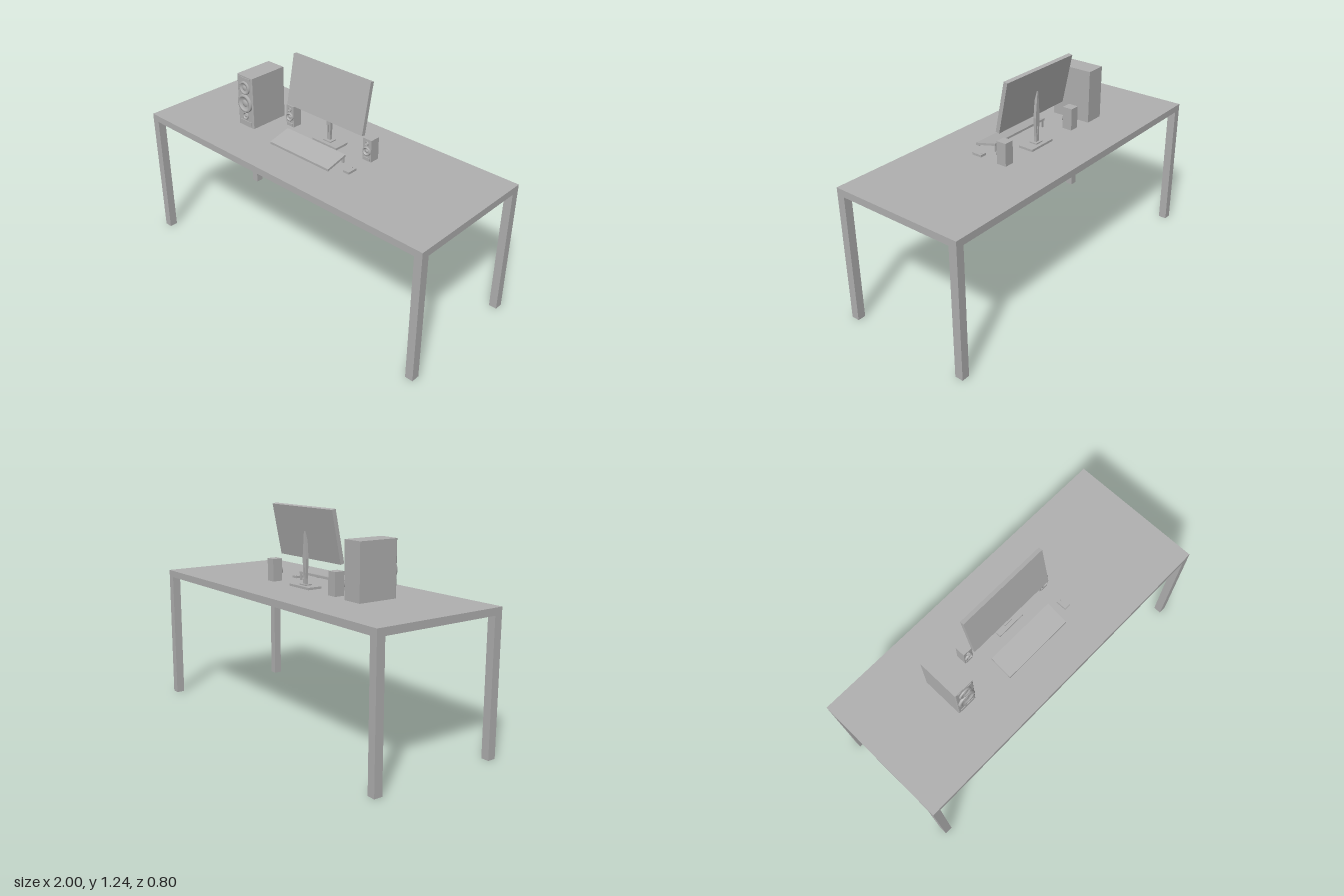
import * as THREE from 'three';

const gray = new THREE.MeshStandardMaterial({ color: 0xb0b0b0 });
gray.name = 'plain gray';

function add(parent, name, geometry, x = 0, y = 0, z = 0) {
  const mesh = new THREE.Mesh(geometry, gray);
  mesh.name = name;
  mesh.position.set(x, y, z);
  parent.add(mesh);
  return mesh;
}

// Box given by its minimum and maximum corners
function box(parent, name, [x0, y0, z0], [x1, y1, z1]) {
  return add(parent, name, new THREE.BoxGeometry(x1 - x0, y1 - y0, z1 - z0),
    (x0 + x1) / 2, (y0 + y1) / 2, (z0 + z1) / 2);
}

function group(parent, name, x = 0, y = 0, z = 0) {
  const g = new THREE.Group();
  g.name = name;
  g.position.set(x, y, z);
  parent.add(g);
  return g;
}

// Round driver facing +z: raised rim, sunken cone and a domed centre
function driver(parent, name, y, z, r, depth) {
  const profile = [
    [0, 0.75], [0.2, 0.68], [0.36, 0.45], [0.42, 0.2], [0.68, 0.6],
    [0.74, 0.95], [0.82, 1], [0.95, 0.9], [1, 0.7], [1, 0],
  ].map(([a, h]) => new THREE.Vector2(a * r, h * depth)).reverse();
  const g = new THREE.LatheGeometry(profile, 32);
  g.rotateX(Math.PI / 2);
  return add(parent, name, g, 0, y, z);
}

export function createModel() {
  const model = new THREE.Group();
  model.name = 'desk with computer';
  const top = 0.79;

  // Table
  const table = group(model, 'table');
  box(table, 'tableTop', [-1, 0.75, -0.4], [1, top, 0.4]);
  for (const sx of [-1, 1]) for (const sz of [-1, 1]) {
    add(table, 'tableLeg', new THREE.BoxGeometry(0.046, 0.75, 0.048), sx * 0.977, 0.375, sz * 0.376);
  }

  // Large speaker cabinet, with slightly rounded front corners
  const tower = group(model, 'largeSpeaker', -0.48, top, 0);
  const plan = new THREE.Shape();
  plan.moveTo(-0.061, 0.122);
  plan.lineTo(-0.061, -0.115);
  plan.quadraticCurveTo(-0.061, -0.122, -0.054, -0.122);
  plan.lineTo(0.054, -0.122);
  plan.quadraticCurveTo(0.061, -0.122, 0.061, -0.115);
  plan.lineTo(0.061, 0.122);
  const cabinet = new THREE.ExtrudeGeometry(plan, { depth: 0.31, bevelEnabled: false, curveSegments: 4 });
  cabinet.rotateX(-Math.PI / 2);
  add(tower, 'cabinet', cabinet);
  driver(tower, 'upperDriver', 0.24, 0.121, 0.04, 0.01);
  driver(tower, 'lowerDriver', 0.145, 0.121, 0.055, 0.014);
  driver(tower, 'smallDriver', 0.067, 0.121, 0.022, 0.009);
  box(tower, 'topStrip', [-0.045, 0.29, 0.121], [0.045, 0.302, 0.125]);
  box(tower, 'bottomStrip', [-0.045, 0.012, 0.121], [0.045, 0.035, 0.126]);

  // Pair of small speakers
  for (const x of [-0.297, 0.283]) {
    const s = group(model, 'smallSpeaker', x, top, 0);
    box(s, 'cabinet', [-0.029, 0, -0.11], [0.029, 0.13, -0.05]);
    driver(s, 'mainDriver', 0.06, -0.051, 0.026, 0.011);
    driver(s, 'tweeter', 0.105, -0.051, 0.012, 0.007);
    box(s, 'bottomStrip', [-0.022, 0.006, -0.051], [0.022, 0.022, -0.045]);
  }

  // Monitor panel, leaning back
  const monitor = group(model, 'monitor');
  const panel = add(monitor, 'panel', new THREE.BoxGeometry(0.555, 0.294, 0.024), -0.002, 1.092, -0.055);
  panel.rotation.x = -0.2;

  // Slim stand with a slotted neck
  const neck = new THREE.Shape([
    [-0.013, top], [0.013, top], [0.011, 0.84], [0.017, 0.95], [0.004, 1.1],
    [-0.004, 1.1], [-0.017, 0.95], [-0.011, 0.84],
  ].map(([x, y]) => new THREE.Vector2(x, y)));
  neck.holes.push(new THREE.Path([
    [-0.003, 0.85], [-0.004, 0.9], [0.004, 0.9], [0.003, 0.85],
  ].map(([x, y]) => new THREE.Vector2(x, y))));
  add(monitor, 'standNeck', new THREE.ExtrudeGeometry(neck, { depth: 0.016, bevelEnabled: false }), -0.003, 0, -0.074);
  box(monitor, 'standBase', [-0.09, top, -0.11], [0.09, 0.803, -0.02]);
  box(monitor, 'standFoot', [-0.03, 0.802, -0.088], [0.026, 0.81, -0.042]);

  // Sloping keyboard, propped at the back
  const keyboard = group(model, 'keyboard', -0.002, 0, 0);
  const side = new THREE.Shape([
    [-0.18, 0.795], [-0.045, 0.828], [-0.045, 0.841], [-0.18, 0.808],
  ].map(([x, y]) => new THREE.Vector2(x, y)));
  const plate = new THREE.ExtrudeGeometry(side, { depth: 0.436, bevelEnabled: false });
  plate.rotateY(Math.PI / 2);
  add(keyboard, 'plate', plate, -0.218, 0, 0);
  for (const sx of [-1, 1]) {
    box(keyboard, 'backFoot', [sx * 0.205 - 0.006, top, 0.046], [sx * 0.205 + 0.006, 0.832, 0.054]);
    box(keyboard, 'frontFoot', [sx * 0.205 - 0.006, top, 0.165], [sx * 0.205 + 0.006, 0.799, 0.175]);
  }

  // Mouse with wheel
  const mouse = group(model, 'mouse', 0.29, top, 0);
  box(mouse, 'body', [-0.02, 0, 0.062], [0.02, 0.013, 0.124]);
  const wheel = new THREE.CylinderGeometry(0.006, 0.006, 0.005, 16);
  wheel.rotateZ(Math.PI / 2);
  add(mouse, 'wheel', wheel, 0, 0.011, 0.074);

  return model;
}
